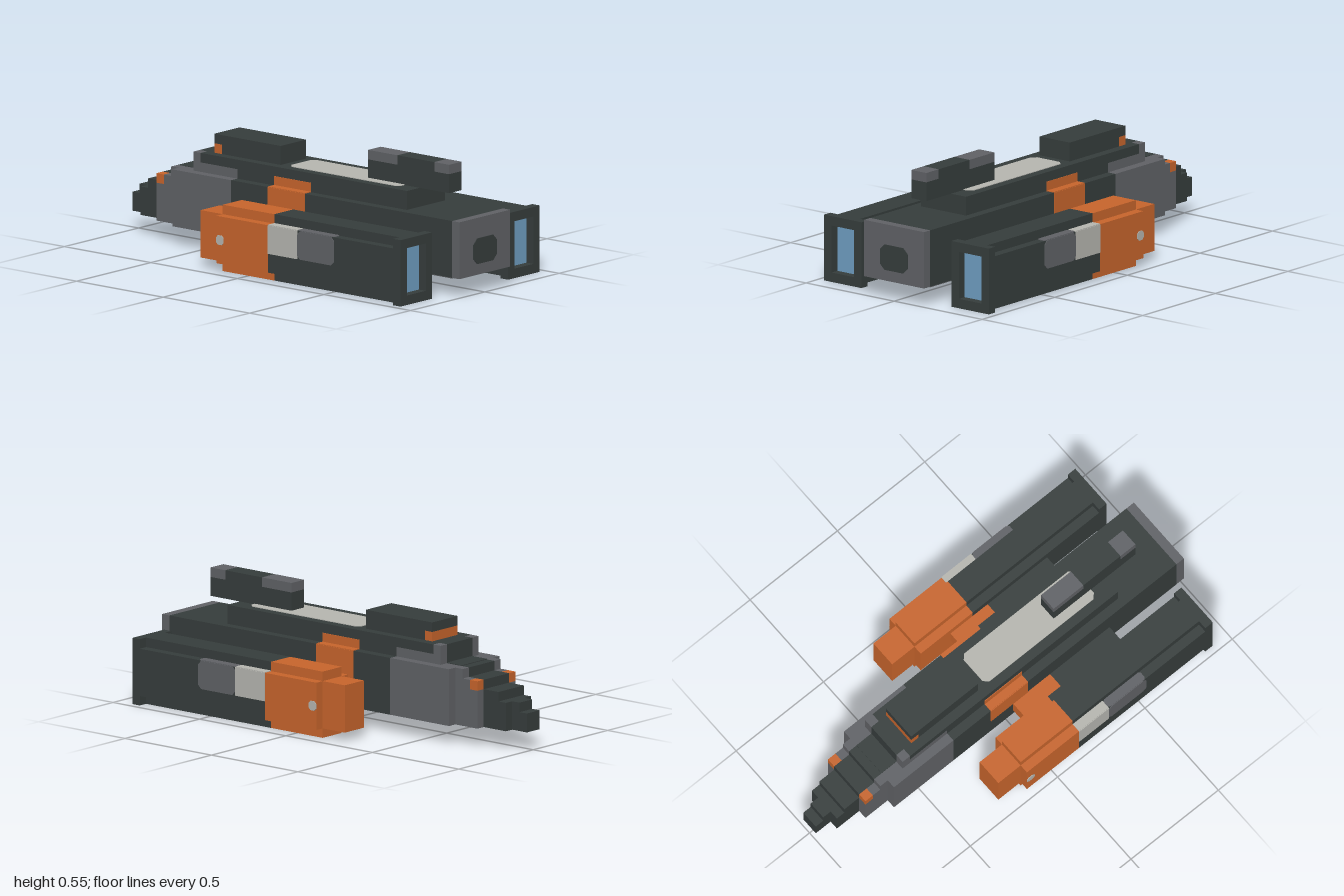
import * as THREE from 'three';

const U = 2 / 47; // one block
const material = (name, color) => {
  const m = new THREE.MeshStandardMaterial({ color });
  m.name = name;
  return m;
};

export function createModel() {
  const dark = material('dark hull', 0x363d3c);
  const grey = material('grey panel', 0x606266);
  const orange = material('orange paint', 0xc8652c);
  const light = material('light panel', 0xb6b6b0);
  const blue = material('blue glow', 0x6f9fc2);

  const ship = new THREE.Group();
  ship.name = 'ship';

  // Box given by its limits, in blocks
  function box(parent, name, mat, [x0, x1], [y0, y1], [z0, z1]) {
    const g = new THREE.BoxGeometry((x1 - x0) * U, (y1 - y0) * U, (z1 - z0) * U);
    const mesh = new THREE.Mesh(g, mat);
    mesh.position.set((x0 + x1) / 2 * U, (y0 + y1) / 2 * U, (z0 + z1) / 2 * U);
    mesh.name = name;
    parent.add(mesh);
    return mesh;
  }

  // Thin painted plate with cut corners, facing along the given direction
  const turns = { front: [0, 0], back: [0, Math.PI], left: [0, Math.PI / 2], up: [-Math.PI / 2, 0], down: [Math.PI / 2, 0] };
  function paint(parent, name, mat, facing, w, h, centre, cut = 0) {
    const a = w / 2 * U, b = h / 2 * U, c = cut * U;
    const pts = [[a, b - c], [a - c, b], [c - a, b], [-a, b - c], [-a, c - b], [c - a, -b], [a - c, -b], [a, c - b]];
    const shape = new THREE.Shape(pts.map(p => new THREE.Vector2(...p)));
    const g = new THREE.ExtrudeGeometry(shape, { depth: 0.003, bevelEnabled: false });
    const mesh = new THREE.Mesh(g, mat);
    mesh.rotation.set(turns[facing][0], turns[facing][1], 0);
    mesh.position.set(...centre.map(v => v * U));
    mesh.name = name;
    parent.add(mesh);
  }

  // Hull
  box(ship, 'noseCap', grey, [-4, 4], [2, 8], [22.5, 23.5]);
  box(ship, 'hull', dark, [-4, 4], [2, 8], [-7.5, 22.5]);
  box(ship, 'rearHull', grey, [-4, 4], [2, 8], [-15.5, -7.5]);
  paint(ship, 'nosePatch', dark, 'front', 3.7, 2.7, [0, 4.5, 23.5], 0.6);
  paint(ship, 'frontBellyPanel', grey, 'down', 8, 6, [0, 2, 19.5]);
  paint(ship, 'bellyPatch', orange, 'down', 3.8, 5, [0, 2, 3], 0.6);
  paint(ship, 'rearTopPanel', dark, 'up', 4, 2, [0, 8, -14.5]);

  // Stepped tail: half width, top, back end, front end
  [[2, 8, -16.5, -15.5], [2, 7, -18.5, -16.5], [2, 6, -20.5, -18.5],
    [2, 5, -21.5, -20.5], [1, 5, -22.5, -21.5], [1, 4, -23.5, -22.5]].forEach(([w, top, z0, z1]) =>
    box(ship, 'tailStep', dark, [-w, w], [2, top], [z0, z1]));

  // Raised spine deck, cockpit and dorsal fin
  box(ship, 'deck', dark, [-3, 3], [8, 10], [-7.5, 15.5]);
  box(ship, 'rearDeck', dark, [-2, 2], [8, 10], [-13.5, -7.5]);
  paint(ship, 'deckStripe', light, 'up', 4, 15, [0, 10, 6], 0.5);
  box(ship, 'cockpit', dark, [-2, 2], [10, 12], [-10.5, -2.5]);
  box(ship, 'cockpitRearTop', dark, [-2, 2], [11, 12], [-11.5, -10.5]);
  box(ship, 'cockpitRearBand', orange, [-2, 2], [10, 11], [-11.5, -10.5]);
  box(ship, 'fin', dark, [-1, 1], [10, 12], [8.5, 19.5]);
  box(ship, 'finTopBack', grey, [-1, 1], [12, 13], [8.5, 12.5]);
  box(ship, 'finTop', dark, [-1, 1], [12, 13], [12.5, 17.5]);
  box(ship, 'finTopFront', grey, [-1, 1], [12, 13], [17.5, 19.5]);

  // Everything on one side, built on +x and mirrored by placement
  function buildSide(s) {
    const side = new THREE.Group();
    side.name = s > 0 ? 'leftSide' : 'rightSide';
    const b = (name, mat, x, y, z) => box(side, name, mat, x, y, z);

    // Tail cheeks and rear deck edges
    b('tailCheek', grey, [2, 3], [2, 8], [-16.5, -15.5]);
    b('tailCheek', grey, [2, 3], [2, 7], [-17.5, -16.5]);
    b('tailCheek', grey, [2, 3], [2, 6], [-18.5, -17.5]);
    b('tailLight', orange, [2, 3], [6, 7], [-18.5, -17.5]);
    b('deckEdgeLower', grey, [2, 3], [8, 9], [-13.5, -7.5]);
    b('deckEdgeUpper', dark, [2, 3], [9, 10], [-12.5, -7.5]);
    b('deckCorner', grey, [2, 3], [9, 10], [-13.5, -12.5]);

    // Orange flash on the hull side, ledge and deck
    paint(side, 'hullFlash', orange, 'left', 5, 3, [4, 6.5, 0]);
    paint(side, 'ledgeFlash', orange, 'up', 1, 5, [3.5, 8, 0]);
    paint(side, 'deckFlash', orange, 'left', 5, 1, [3, 8.5, 0]);

    // Pylon
    b('pylon', dark, [4, 6], [3, 5], [5.5, 13.5]);
    b('pylonRear', orange, [4, 6], [3, 5], [0.5, 5.5]);

    // Engine with cross-shaped section
    [['engine', dark, [3.5, 20.5]], ['engineRear', orange, [-3.5, 3.5]]].forEach(([name, mat, z]) => {
      b(name + 'Wide', mat, [6, 11], [1, 6], z);
      b(name + 'Top', mat, [7, 10], [6, 7], z);
      b(name + 'Bottom', mat, [7, 10], [0, 1], z);
    });
    b('exhaust', orange, [7, 10], [1, 6], [-6.5, -3.5]);

    // Intake frame and glow
    b('intakeFrame', dark, [6, 7], [0, 7], [20.5, 21.5]);
    b('intakeFrame', dark, [10, 11], [0, 7], [20.5, 21.5]);
    b('intakeFrame', dark, [7, 10], [0, 1], [20.5, 21.5]);
    b('intakeFrame', dark, [7, 10], [6, 7], [20.5, 21.5]);
    paint(side, 'intakeGlow', blue, 'front', 3, 5, [8.5, 3.5, 20.5]);

    // Painted panels on the outer engine side and its ledge
    paint(side, 'lightPanel', light, 'left', 4, 3, [11, 4.5, 5.5]);
    paint(side, 'greyPanel', grey, 'left', 5, 3, [11, 4.5, 10], 0.4);
    paint(side, 'lightLedge', light, 'up', 1, 4, [10.5, 6, 5.5]);
    paint(side, 'greyLedge', grey, 'up', 1, 5, [10.5, 6, 10], 0.2);
    paint(side, 'engineDot', light, 'left', 1, 1, [11, 3.5, -3], 0.25);

    // Mirror: flip positions, and turn side-facing plates round
    if (s < 0) side.children.forEach(m => {
      m.position.x *= -1;
      m.rotation.y *= -1;
    });
    ship.add(side);
  }
  buildSide(1);
  buildSide(-1);
  return ship;
}
